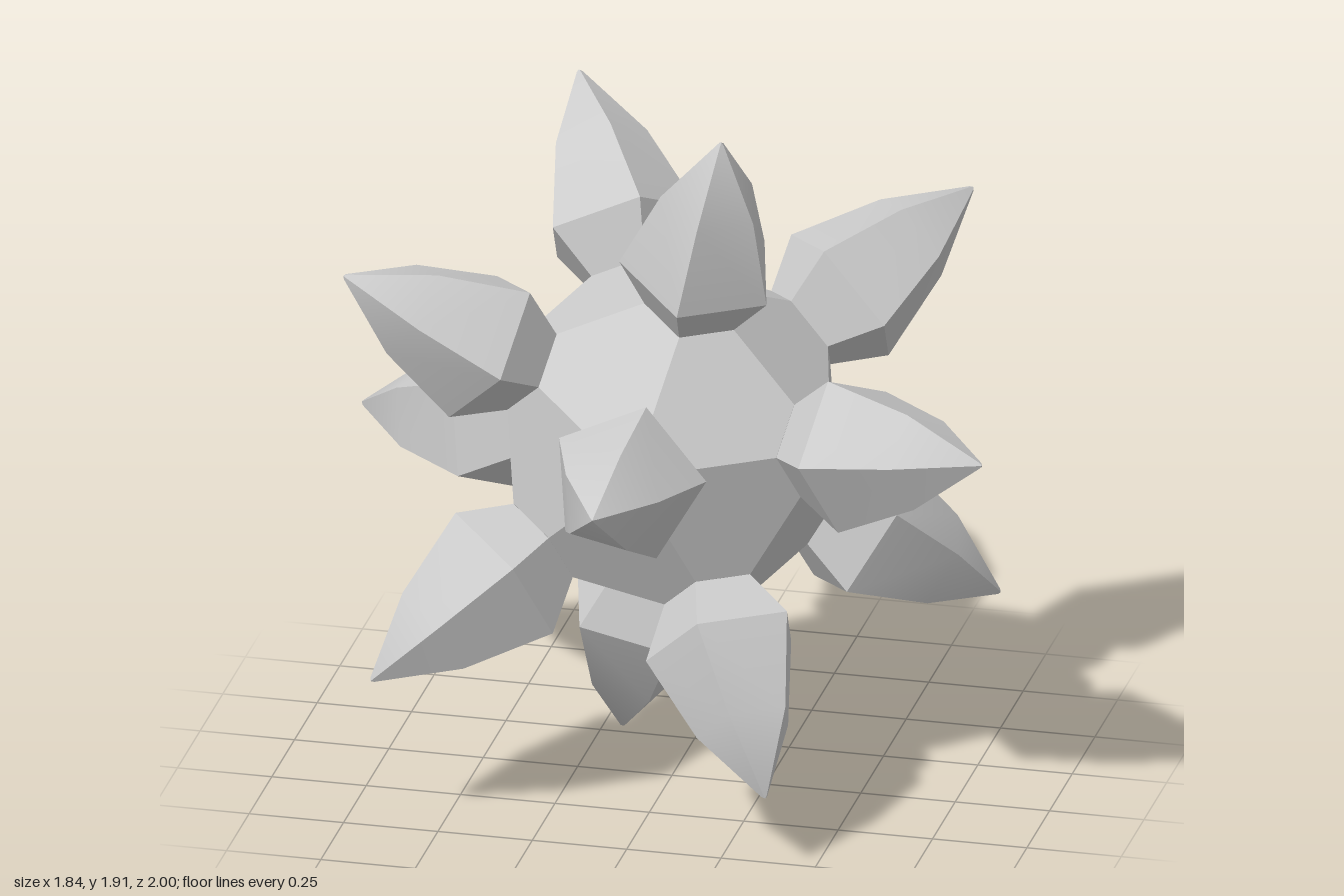
import * as THREE from 'three';
import { toCreasedNormals } from 'three/addons/utils/BufferGeometryUtils.js';
import { ConvexGeometry } from 'three/addons/geometries/ConvexGeometry.js';

// Twelve icosahedral directions: a pole, a ring of five around it, and their opposites
function spikeDirections() {
  const pole = new THREE.Vector3(0.03, 0.175, 1).normalize();
  const e1 = new THREE.Vector3(0.2, 0.955, 0.29).projectOnPlane(pole).normalize();
  const c = 1 / Math.sqrt(5), s = 2 / Math.sqrt(5);
  const half = [pole];
  for (let k = 0; k < 5; k++) {
    const ringDir = e1.clone().applyAxisAngle(pole, (k * Math.PI * 2) / 5);
    half.push(pole.clone().multiplyScalar(c).addScaledVector(ringDir, s));
  }
  return [...half, ...half.map((d) => d.clone().negate())];
}

export function createModel() {
  const model = new THREE.Group();
  const material = new THREE.MeshStandardMaterial({ color: 0xcccccc });
  const dirs = spikeDirections();
  const neighbours = (d) => dirs.filter((o) => o.dot(d) > 0.3 && o.dot(d) < 0.6);

  const burr = new THREE.Group();
  burr.name = 'spikedBall';
  burr.position.y = 0.956;
  model.add(burr);

  // Core: an icosahedron with its corners cut off
  const coreRadius = 0.522, cut = 0.275;
  const corners = dirs.flatMap((d) =>
    neighbours(d).map((n) => d.clone().lerp(n, cut).multiplyScalar(coreRadius)));
  const core = new THREE.Mesh(new ConvexGeometry(corners), material);
  core.name = 'core';
  burr.add(core);

  // Spike: five-sided bud flaring from a narrow neck, then bulging in to a point
  const profile = [
    [0.126, 0.44], [0.21, 0.58], [0.132, 0.815], [0.008, 1.012], [0, 1.018],
  ].map(([r, y]) => new THREE.Vector2(r, y));
  const spikeGeometry = toCreasedNormals(new THREE.LatheGeometry(profile, 5), Math.PI / 6);

  // One spike per direction, its ribs aimed at the neighbouring spikes
  dirs.forEach((d, i) => {
    const rib = neighbours(d)[0].clone().projectOnPlane(d).normalize();
    const side = new THREE.Vector3().crossVectors(d, rib);
    const spike = new THREE.Mesh(spikeGeometry, material);
    spike.name = `spike${i + 1}`;
    spike.quaternion.setFromRotationMatrix(new THREE.Matrix4().makeBasis(side, d, rib));
    burr.add(spike);
  });

  return model;
}
